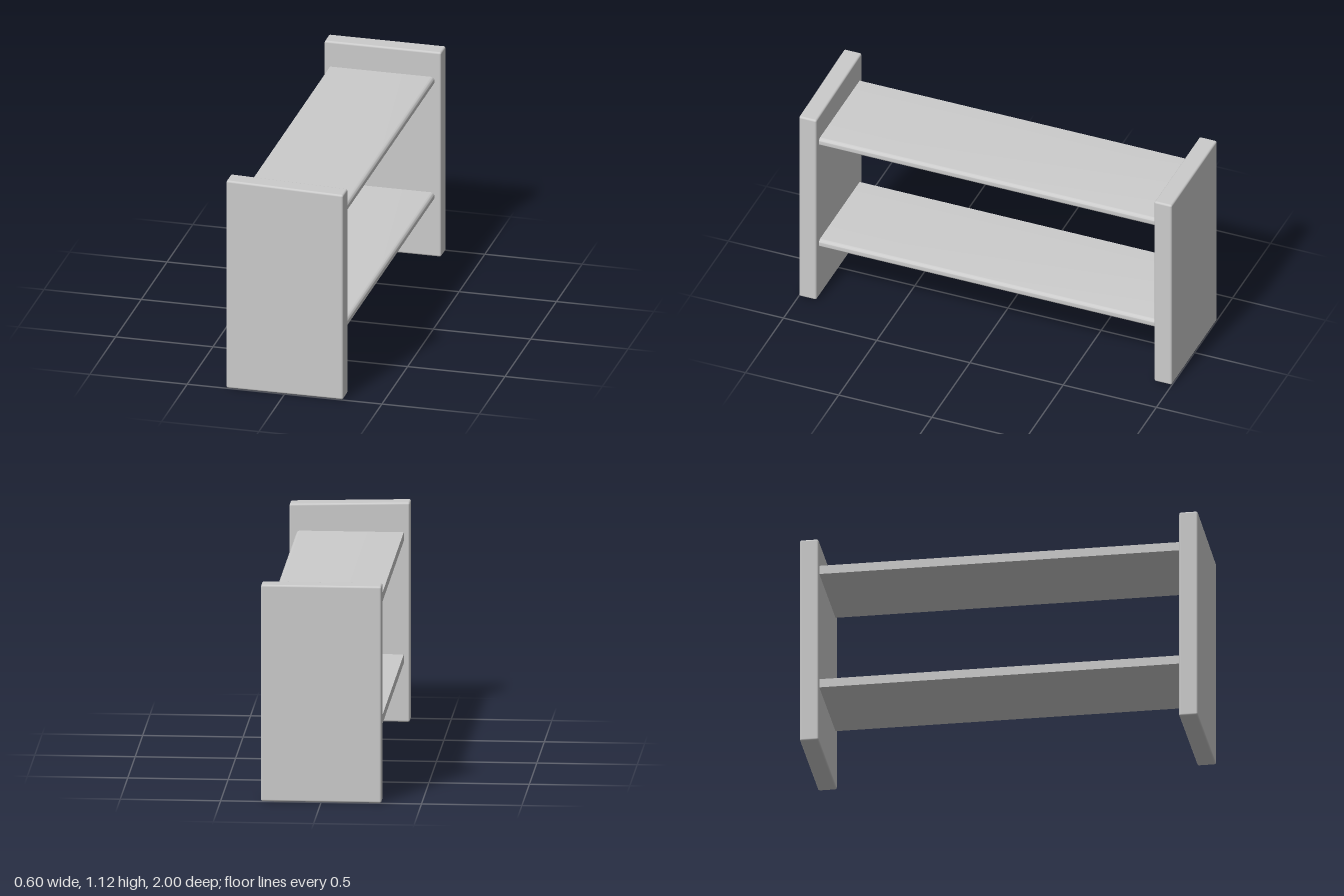
import * as THREE from 'three';
import { RoundedBoxGeometry } from 'three/addons/geometries/RoundedBoxGeometry.js';
import { toCreasedNormals } from 'three/addons/utils/BufferGeometryUtils.js';

const WIDTH = 0.6, HEIGHT = 1.1, THICK = 0.094, LENGTH = 2;

export function createModel() {
  const group = new THREE.Group();
  const material = new THREE.MeshStandardMaterial({ color: 0xcccccc });

  function add(name, geometry, y, z) {
    const mesh = new THREE.Mesh(geometry, material);
    mesh.name = name;
    mesh.position.set(0, y, z);
    group.add(mesh);
  }

  // Upright end panel with softened edges; rise lifts its top toward -x
  function panel(rise) {
    const geometry = new RoundedBoxGeometry(WIDTH, HEIGHT, THICK, 3, 0.01);
    const p = geometry.attributes.position;
    for (let i = 0; i < p.count; i++) {
      if (p.getY(i) > 0) p.setY(i, p.getY(i) + rise * (0.5 - p.getX(i) / WIDTH));
    }
    return geometry;
  }
  const panelZ = (LENGTH - THICK) / 2;
  add('frontPanel', panel(0.016), HEIGHT / 2, panelZ);
  add('backPanel', panel(0), HEIGHT / 2, -panelZ);

  // Shelf section: square at -x, rounded nose at +x
  const h = 0.0225, span = 1.82;
  const section = new THREE.Shape();
  section.moveTo(-0.27, -h);
  section.lineTo(0.247, -h);
  section.absellipse(0.247, 0, 0.02, h, -Math.PI / 2, Math.PI / 2, false);
  section.lineTo(-0.27, h);
  section.closePath();
  const shelf = toCreasedNormals(
    new THREE.ExtrudeGeometry(section, { depth: span, bevelEnabled: false, curveSegments: 8 }), 0.7);
  shelf.translate(0, 0, -span / 2);
  add('lowerShelf', shelf, 0.322, 0);
  add('upperShelf', shelf, 0.943, 0);

  return group;
}
